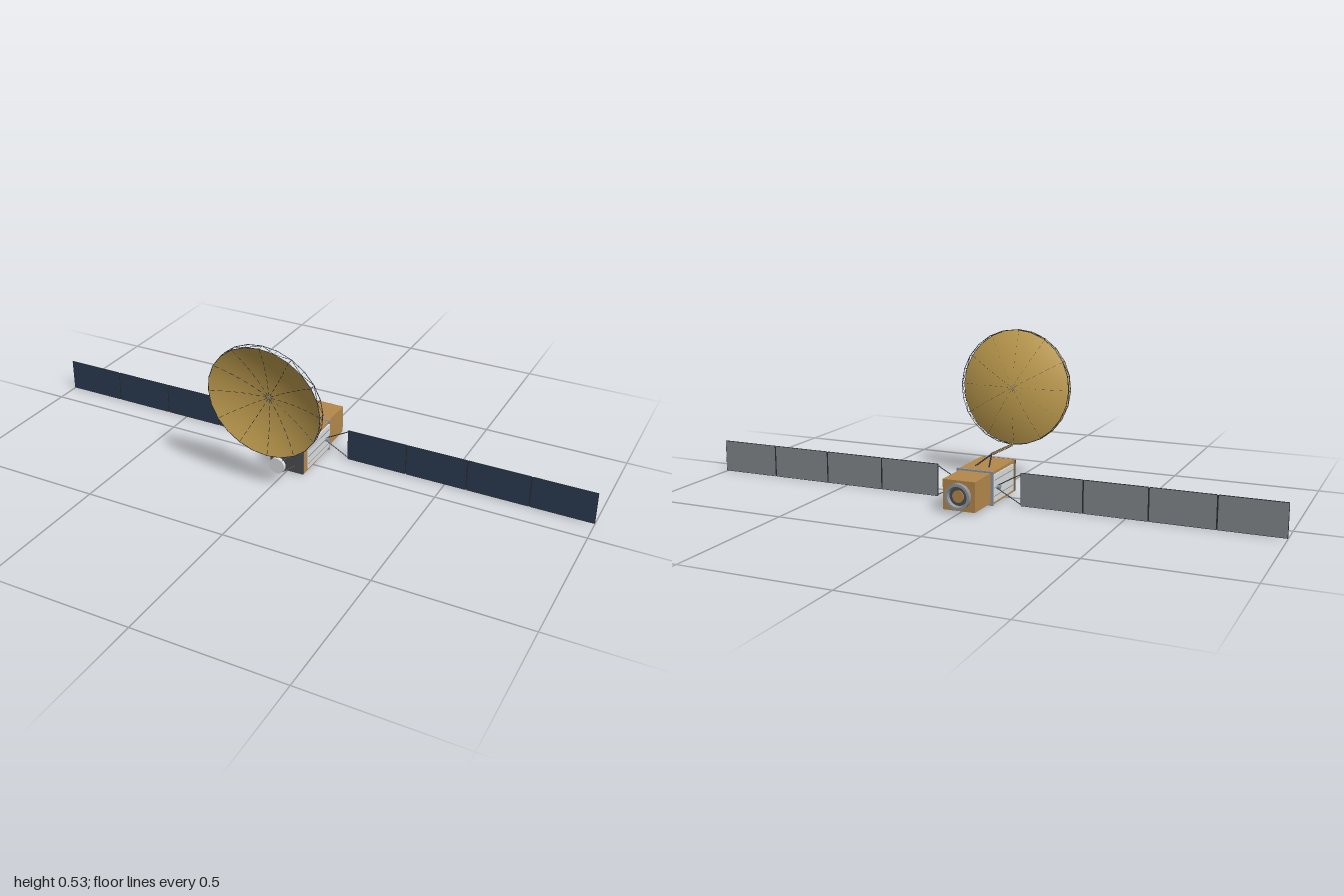
import * as THREE from 'three';

const mat = (name, color, extra = {}) => {
  const m = new THREE.MeshStandardMaterial({ color, ...extra });
  m.name = name;
  return m;
};

export function createModel() {
  const foil = mat('amber foil', 0xb58a4c);
  const gold = mat('gold mesh', 0xc6a252, { side: THREE.DoubleSide });
  const cell = mat('solar blue', 0x2c3c52);
  const backing = mat('panel backing grey', 0x82888c);
  const dark = mat('dark truss', 0x2a2f36);
  const plate = mat('front plate grey', 0x4c5052);
  const white = mat('radiator white', 0xdcdfe0);
  const steel = mat('steel blue grey', 0x8c96a2);
  const metal = mat('nozzle metal', 0x92969c, { side: THREE.DoubleSide });

  const model = new THREE.Group();
  model.name = 'satellite';
  const V = (x, y, z) => new THREE.Vector3(x, y, z);
  const CY = 0.057;

  const add = (name, geometry, material, pos = [0, 0, 0], parent = model) => {
    const m = new THREE.Mesh(geometry, material);
    m.name = name;
    m.position.set(...pos);
    parent.add(m);
    return m;
  };
  const box = (name, size, pos, material, parent) =>
    add(name, new THREE.BoxGeometry(...size), material, pos, parent);
  // Straight rod between two points
  const rod = (name, a, b, r, material, parent = model, sides = 6) => {
    const d = b.clone().sub(a);
    const m = add(name, new THREE.CylinderGeometry(r, r, d.length(), sides), material,
      a.clone().add(b).multiplyScalar(0.5).toArray(), parent);
    m.quaternion.setFromUnitVectors(V(0, 1, 0), d.normalize());
    return m;
  };

  // Main body, rear module and collar
  box('mainBody', [0.122, 0.11, 0.189], [0, CY, -0.0225], foil);
  box('rearModule', [0.112, 0.1, 0.122], [0, 0.058, -0.178], foil);
  box('collar', [0.13, 0.114, 0.006], [0, CY, -0.115], steel);
  box('frontPlate', [0.124, 0.108, 0.007], [0, CY, 0.0755], plate);

  // Side radiators with dividing strips
  for (const s of [-1, 1]) {
    box('radiator', [0.005, 0.09, 0.163], [s * 0.0635, CY, -0.0315], white);
    for (const y of [0.031, 0.058, 0.084])
      box('radiatorStrip', [0.001, 0.002, 0.158], [s * 0.0663, y, -0.0315], backing);
  }

  // Rear engine ring: outer wall, dark throat and foil centre
  const ring = add('engineRing', new THREE.LatheGeometry([
    [0.043, 0], [0.043, 0.016], [0.043, 0.016], [0.034, 0.016], [0.034, 0.016], [0.03, 0],
  ].map(([r, y]) => new THREE.Vector2(r, y)), 32), metal, [0, CY, -0.238]);
  ring.rotation.x = -Math.PI / 2;
  const disc = (name, r, depth, z, material) => {
    const m = add(name, new THREE.CylinderGeometry(r, r, depth, 32), material, [0, CY, z]);
    m.rotation.x = Math.PI / 2;
  };
  disc('engineThroat', 0.032, 0.004, -0.24, plate);
  disc('engineCentre', 0.02, 0.007, -0.242, foil);

  // Front feed reflector on four struts
  disc('feedReflector', 0.0275, 0.011, 0.1425, white);
  for (const sx of [-1, 1]) for (const sy of [-1, 1])
    rod('feedStrut', V(sx * 0.031, CY + sy * 0.029, 0.077),
      V(sx * 0.018, CY + sy * 0.0205, 0.142), 0.0018, plate);

  // Solar wings: four panels each, on a V-shaped yoke
  const Z = -0.086, W = 0.2085, H = 0.108, PITCH = 0.2135;
  for (const s of [-1, 1]) {
    const wing = new THREE.Group();
    wing.name = s > 0 ? 'leftWing' : 'rightWing';
    model.add(wing);
    const shaft = add('wingShaft', new THREE.CylinderGeometry(0.008, 0.008, 0.02, 16), steel,
      [s * 0.067, CY, Z], wing);
    shaft.rotation.z = Math.PI / 2;
    for (const sy of [-1, 1])
      rod('yokeArm', V(s * 0.068, CY + sy * 0.006, Z), V(s * 0.149, CY + sy * 0.05, Z), 0.0016, dark, wing);
    rod('yokeBar', V(s * 0.149, 0.004, Z), V(s * 0.149, 0.111, Z), 0.0018, dark, wing);
    for (let i = 0; i < 4; i++) {
      const x = s * (0.15 + W / 2 + i * PITCH);
      box('panelBacking', [W, H, 0.002], [x, CY, Z - 0.001], backing, wing);
      box('solarCells', [W, H, 0.0015], [x, CY, Z + 0.00075], cell, wing);
      for (const sy of [-1, 1])
        box('panelEdge', [W, 0.0015, 0.004], [x, CY + sy * (H / 2 + 0.0005), Z], dark, wing);
      if (i < 3)
        box('panelHinge', [0.005, H, 0.0025], [x + s * PITCH / 2, CY, Z - 0.0008], dark, wing);
      else
        box('wingTip', [0.0015, H, 0.004], [s * 0.99925, CY, Z], dark, wing);
    }
  }

  // Boom carrying the dish
  const elbow = V(0, 0.1365, 0.018), tip = V(0, 0.131, 0.195);
  for (const s of [-1, 1])
    rod('boomLeg', V(s * 0.025, 0.111, -0.06), elbow, 0.0025, dark);
  rod('boom', elbow, tip, 0.0032, foil, model, 8);
  for (const sx of [-1, 1]) for (const sy of [-1, 1]) {
    const o = V(sx * 0.003, sy * 0.003, 0);
    rod('boomLongeron', elbow.clone().add(o), tip.clone().add(o), 0.0008, dark);
  }

  // Dish, built about its own axis and then tilted forward
  const dish = new THREE.Group();
  dish.name = 'dish';
  dish.position.set(0, 0.329, 0.233);
  dish.rotation.x = Math.PI / 2 + 0.1;
  model.add(dish);
  const R = 0.199, D = 0.039;
  const bowl = r => D * (r * r / (R * R) - 1);
  const profile = Array.from({ length: 17 }, (_, i) => new THREE.Vector2(R * i / 16, bowl(R * i / 16)));
  add('dishSurface', new THREE.LatheGeometry(profile, 48), gold, [0, 0, 0], dish);
  const hub = add('dishHub', new THREE.CylinderGeometry(0.005, 0.005, 0.003, 12), steel, [0, -D + 0.001, 0], dish);
  hub.scale.y = 1;

  // Dashed radial ribs inside the dish
  const polar = (r, a, y) => V(r * Math.cos(a), y, r * Math.sin(a));
  for (let i = 0; i < 12; i++) {
    const a = i * Math.PI / 6;
    for (let k = 0; k < 8; k++) {
      const r0 = R * (k + 0.25) / 8, r1 = R * (k + 0.85) / 8;
      rod('dishRib', polar(r0, a, bowl(r0) + 0.0007), polar(r1, a, bowl(r1) + 0.0007), 0.001, dark, dish, 4);
    }
  }

  // Perimeter truss: two hoops, posts and diagonals
  const N = 24, BACK = -0.0205;
  for (let i = 0; i < N; i++) {
    const a = i * 2 * Math.PI / N, b = (i + 1) * 2 * Math.PI / N;
    const f0 = polar(R, a, 0), f1 = polar(R, b, 0);
    const b0 = polar(R, a, BACK), b1 = polar(R, b, BACK);
    rod('frontHoop', f0, f1, 0.0012, dark, dish, 4);
    rod('rearHoop', b0, b1, 0.0012, dark, dish, 4);
    rod('trussPost', f0, b0, 0.0011, dark, dish, 4);
    rod('trussDiagonal', i % 2 ? f0 : b0, i % 2 ? b1 : f1, 0.0009, dark, dish, 4);
  }
  return model;
}
